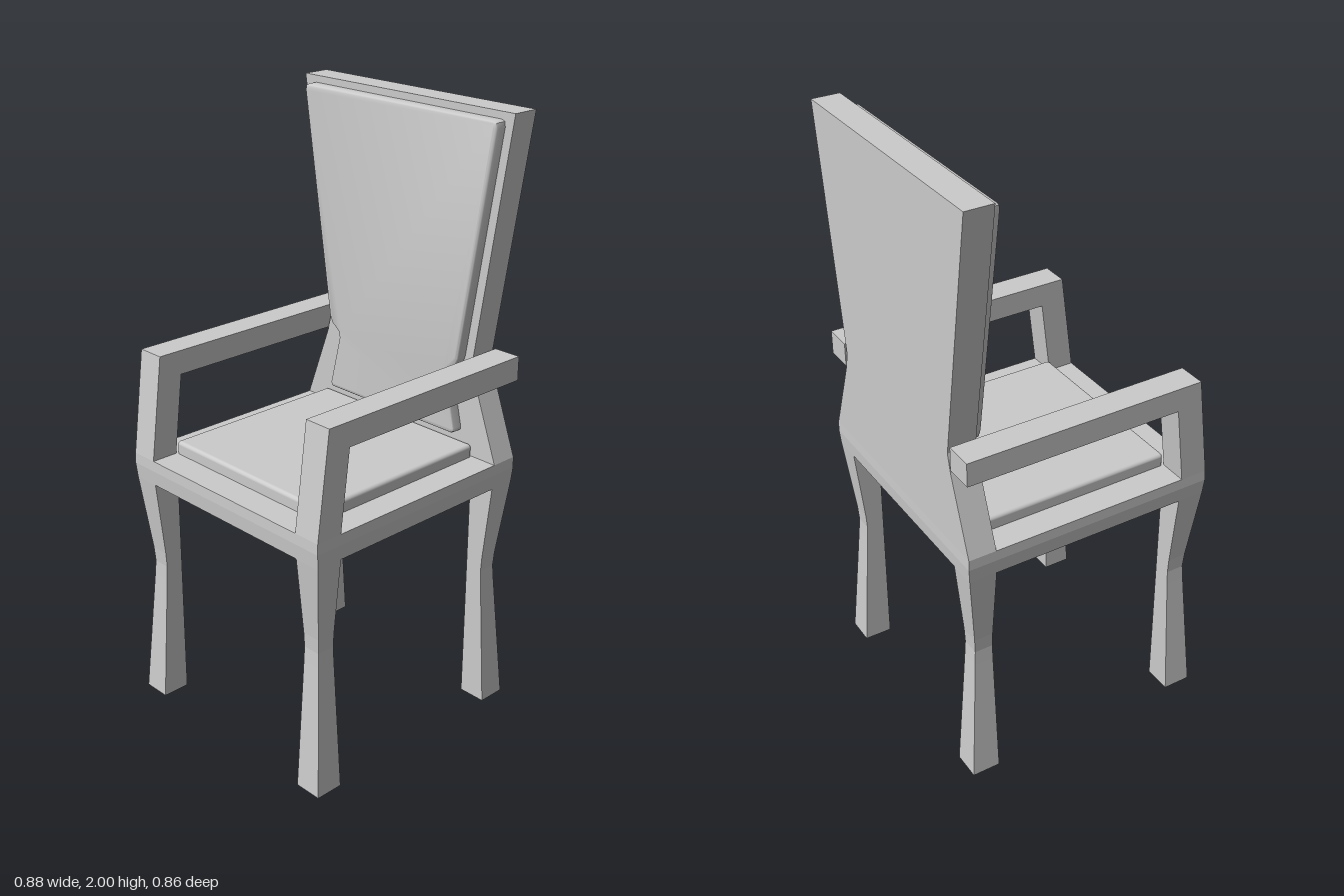
import * as THREE from 'three';
import { toCreasedNormals } from 'three/addons/utils/BufferGeometryUtils.js';
import { RoundedBoxGeometry } from 'three/addons/geometries/RoundedBoxGeometry.js';

const IN = 0.335, OUT = 0.43;

// Box whose horizontal section follows rings of [y, x0, x1, z0, z1], bottom to top
function loft(rings) {
  const n = rings.length - 1;
  const geo = new THREE.BoxGeometry(1, 1, 1, 1, n, 1);
  const p = geo.attributes.position;
  for (let i = 0; i < p.count; i++) {
    const [y, xa, xb, za, zb] = rings[Math.round((p.getY(i) + 0.5) * n)];
    p.setXYZ(i,
      p.getX(i) < 0 ? Math.min(xa, xb) : Math.max(xa, xb), y,
      p.getZ(i) < 0 ? Math.min(za, zb) : Math.max(za, zb));
  }
  geo.computeVertexNormals();
  return geo;
}

// Closed shape mirrored about x = 0 from its right-hand edge, bottom to top
function mirroredShape(edge) {
  const left = edge.map(([x, y]) => [-x, y]).reverse();
  return new THREE.Shape([...edge, ...left].map(([x, y]) => new THREE.Vector2(x, y)));
}

export function createModel() {
  const group = new THREE.Group();
  const flat = new THREE.MeshStandardMaterial({ color: 0xcccccc, flatShading: true });
  const smooth = new THREE.MeshStandardMaterial({ color: 0xcccccc });
  const add = (name, geo, mat = flat) => {
    const mesh = new THREE.Mesh(geo, mat);
    mesh.name = name;
    group.add(mesh);
    return mesh;
  };

  // Legs: straight inside faces, waisted outside faces
  const legProfile = [[0, 0.43], [0.44, 0.399], [0.49, 0.396], [0.54, 0.399], [0.8, 0.427]];
  for (const sx of [1, -1]) {
    for (const sz of [1, -1]) {
      add((sz > 0 ? 'front' : 'back') + (sx > 0 ? 'LeftLeg' : 'RightLeg'),
        loft(legProfile.map(([y, o]) => [y, sx * IN, sx * o, sz * IN, sz * o])));
    }
  }

  // Seat frame
  add('seatFrame', loft([[0.8, 0.427], [0.85, 0.431], [0.885, OUT]]
    .map(([y, o]) => [y, -o, o, -o, o])));

  // Armrests: sloping front post and flat rail in one side profile
  const arm = new THREE.Shape([
    [OUT, 0.885], [0.385, 1.23], [-OUT, 1.23], [-OUT, 1.15], [0.305, 1.15], [0.338, 0.885],
  ].map(([z, y]) => new THREE.Vector2(-z, y)));
  const armGeo = new THREE.ExtrudeGeometry(arm, { depth: OUT - IN, bevelEnabled: false });
  armGeo.rotateY(Math.PI / 2);
  add('leftArmrest', armGeo).position.x = IN;
  add('rightArmrest', armGeo).position.x = -OUT;

  // Backrest panel, pinched at arm height
  const back = mirroredShape([[OUT, 0.885], [0.335, 1.14], [0.32, 1.2], [0.326, 1.24], [0.442, 2]]);
  const backGeo = new THREE.ExtrudeGeometry(back, { depth: 0.093, bevelEnabled: false });
  add('backrest', backGeo).position.z = -0.43;

  // Back cushion with rounded rim
  const pad = mirroredShape([
    [0.272, 0.957], [0.282, 0.963], [0.283, 0.975], [0.243, 1.145], [0.247, 1.165],
    [0.28, 1.19], [0.29, 1.215], [0.406, 1.955], [0.404, 1.972], [0.392, 1.977],
  ]);
  const padGeo = toCreasedNormals(new THREE.ExtrudeGeometry(pad, {
    depth: 0.045, bevelThickness: 0.012, bevelSize: 0.012, bevelOffset: -0.012, bevelSegments: 4,
  }), 0.6);
  add('backCushion', padGeo, smooth).position.z = -0.355;

  // Seat cushion
  add('seatCushion', new RoundedBoxGeometry(0.67, 0.08, 0.67, 4, 0.012), smooth)
    .position.set(0, 0.888, -0.001);

  return group;
}
